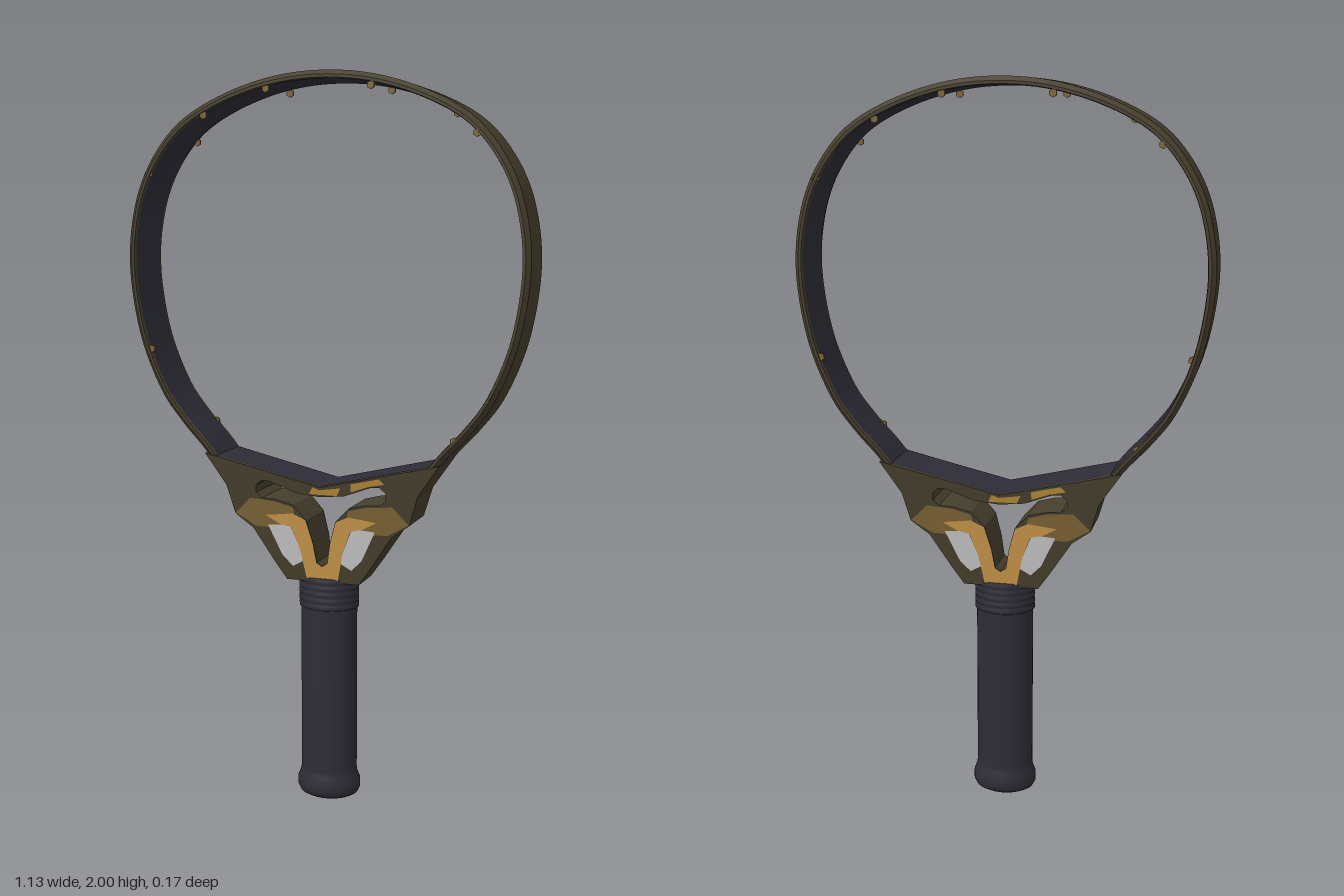
import * as THREE from 'three';

const mat = (name, color, side = THREE.FrontSide) => {
  const m = new THREE.MeshStandardMaterial({ color, side });
  m.name = name;
  return m;
};

export function createModel() {
  const group = new THREE.Group();
  group.name = 'racket';
  const olive = mat('dark olive', 0x463f2d);
  const slate = mat('dark slate', 0x2e2d38);
  const orange = mat('orange', 0xc8954a);
  const tan = mat('tan', 0x7d6336);
  const gold = mat('gold', 0xb08838);
  const grey = mat('light grey', 0xc4c4c4);

  const add = (name, geometry, material, parent = group) => {
    const mesh = new THREE.Mesh(geometry, material);
    mesh.name = name;
    parent.add(mesh);
    return mesh;
  };
  const vecs = pts => pts.map(([x, y]) => new THREE.Vector2(x, y));
  // Completes a right-half outline with its left half
  const mirrored = half => [...half, ...half.filter(p => p[0] > 0).reverse().map(([x, y]) => [-x, y])];

  // Sweeps a profile of [outward offset, z] along a path, creased at profile corners
  function sweep(path, profile) {
    const pos = [], index = [];
    for (let s = 0; s < profile.length - 1; s++) {
      const base = pos.length / 3;
      path.forEach((p, i) => {
        const a = path[Math.max(i - 1, 0)], b = path[Math.min(i + 1, path.length - 1)];
        const t = b.clone().sub(a).normalize();
        for (const [d, z] of [profile[s], profile[s + 1]]) pos.push(p.x + t.y * d, p.y - t.x * d, z);
      });
      for (let i = 0; i < path.length - 1; i++) {
        const k = base + i * 2;
        index.push(k, k + 2, k + 1, k + 2, k + 3, k + 1);
      }
    }
    const g = new THREE.BufferGeometry();
    g.setAttribute('position', new THREE.Float32BufferAttribute(pos, 3));
    g.setIndex(index);
    g.computeVertexNormals();
    return g;
  }

  // Hoop
  const hoopHalf = [[0.31, 0.945], [0.35, 0.995], [0.41, 1.06], [0.475, 1.15], [0.535, 1.3], [0.563, 1.48],
    [0.55, 1.63], [0.505, 1.755], [0.42, 1.865], [0.3, 1.937], [0.15, 1.985], [0, 2]];
  const path = new THREE.SplineCurve(vecs(mirrored(hoopHalf))).getSpacedPoints(128);
  add('hoopShell', sweep(path, [[-0.022, -0.072], [-0.02, -0.083], [-0.012, -0.083], [0, -0.07], [0, 0.07],
    [-0.012, 0.083], [-0.02, 0.083], [-0.022, 0.072]]), olive);
  add('hoopLining', sweep(path, [[-0.022, 0.072], [-0.022, -0.072]]), slate);

  // Throat, thinner towards the handle
  const halfDepth = y => 0.055 + (y - 0.63) * 0.0928;
  const outline = mirrored([[0, 0.9], [0.335, 0.978], [0.275, 0.89], [0.252, 0.81], [0.2, 0.772],
    [0.14, 0.68], [0.105, 0.63]].reverse());
  const throatShape = new THREE.Shape(vecs(outline));
  const opening = mirrored([[0, 0.675], [0.015, 0.685], [0.024, 0.74], [0.042, 0.805], [0.08, 0.845], [0.13, 0.858],
    [0.17, 0.86], [0.187, 0.875], [0.187, 0.895], [0.17, 0.91], [0.145, 0.908], [0.07, 0.88], [0, 0.873]]);
  throatShape.holes.push(new THREE.Path(vecs(opening)));
  const throat = new THREE.ExtrudeGeometry(throatShape, { depth: 2, bevelEnabled: false });
  const tp = throat.attributes.position;
  for (let i = 0; i < tp.count; i++) tp.setZ(i, (tp.getZ(i) - 1) * halfDepth(tp.getY(i)));
  throat.computeVertexNormals();
  add('throat', throat, olive);
  add('bridgeLining', sweep(vecs([[0.33, 0.979], [0, 0.902], [-0.33, 0.979]]), [[0, -0.078], [0, 0.078]]), slate);

  // Painted patches, laid just above the throat face
  function patch(name, pts, material, lift, parent) {
    const g = new THREE.ShapeGeometry(new THREE.Shape(vecs(pts)));
    const p = g.attributes.position;
    for (let i = 0; i < p.count; i++) p.setZ(i, halfDepth(p.getY(i)) + lift);
    g.computeVertexNormals();
    add(name, g, material, parent);
  }
  const tanPatch = [[0.25, 0.812], [0.205, 0.858], [0.13, 0.852], [0.08, 0.838], [0.07, 0.79], [0.11, 0.775], [0.19, 0.778]];
  const greyPanel = [[0.155, 0.785], [0.09, 0.79], [0.05, 0.69], [0.085, 0.67], [0.115, 0.7]];
  const arm = [[0.044, 0.805], [0.08, 0.822], [0.16, 0.812], [0.12, 0.79], [0.085, 0.782], [0.062, 0.72],
    [0.045, 0.635], [0, 0.635], [0, 0.674], [0.016, 0.685], [0.025, 0.74]];
  const specks = [[-0.15, 1.957], [0.14, 1.957], [0.42, 1.832], [-0.498, 1.262], [-0.33, 1.893], [-0.495, 1.742], [0.372, 1.045]];
  for (const side of ['front', 'back']) {
    const face = new THREE.Group();
    face.name = side + 'Decoration';
    if (side === 'back') face.rotation.y = Math.PI;
    group.add(face);
    for (const s of [1, -1]) {
      const flip = pts => pts.map(([x, y]) => [x * s, y]);
      patch('tanPatch', flip(tanPatch), tan, 0.001, face);
      patch('greyPanel', flip(greyPanel), grey, 0.002, face);
      patch('orangeArm', flip(arm), orange, 0.003, face);
    }
    patch('bridgePatch', [[-0.03, 0.88], [0.05, 0.88], [0.06, 0.902], [0, 0.893], [-0.02, 0.9]], gold, 0.002, face);
    patch('bridgePatch', [[0.09, 0.893], [0.09, 0.915], [0.17, 0.934], [0.185, 0.92], [0.14, 0.911]], gold, 0.002, face);
    // Small paint specks on the rim
    for (const [x, y] of specks) {
      const speck = add('rimSpeck', new THREE.CylinderGeometry(0.011, 0.011, 0.006, 6), tan, face);
      speck.rotation.x = Math.PI / 2;
      speck.position.set(x, y, 0.077);
    }
  }

  // Grip with flared butt cap
  const grip = new THREE.LatheGeometry(vecs([[0, 0], [0.07, 0.001], [0.083, 0.008], [0.09, 0.022], [0.09, 0.045],
    [0.082, 0.065], [0.08, 0.08], [0.08, 0.56]]), 32);
  add('grip', grip.scale(1, 1, 0.82), slate);

  // Ridged collar
  const ridges = [[0.08, 0.55]];
  for (let i = 0; i < 5; i++) {
    const y = 0.55 + i * 0.018;
    ridges.push([0.085, y + 0.003], [0.085, y + 0.014], [0.081, y + 0.018]);
  }
  ridges.push([0, 0.641]);
  add('collar', new THREE.LatheGeometry(vecs(ridges), 32).scale(1, 1, 0.82), slate);

  return group;
}
